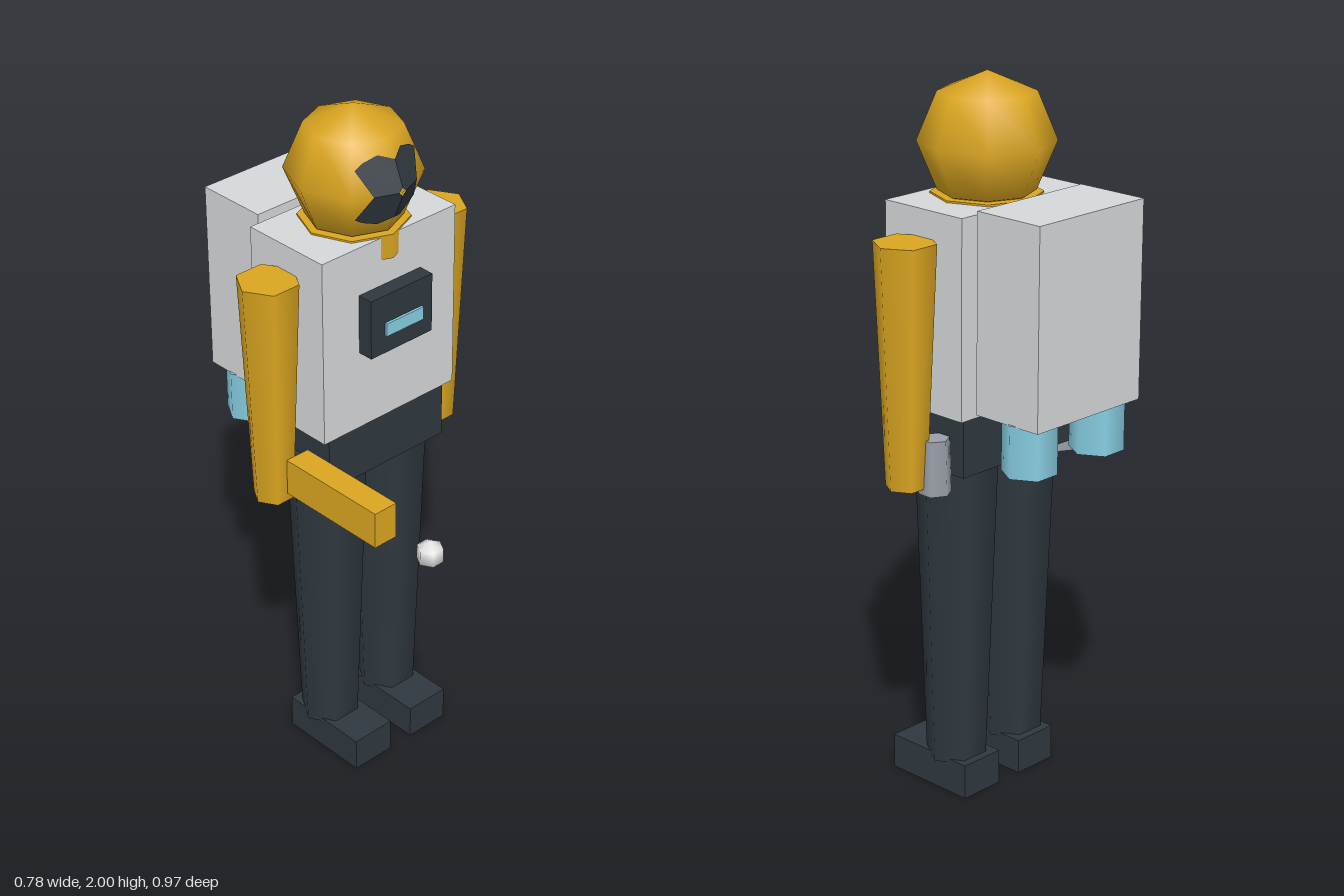
import * as THREE from 'three';

const mat = (name, color, side = THREE.FrontSide) => {
  const m = new THREE.MeshStandardMaterial({ color, side });
  m.name = name;
  return m;
};

export function createModel() {
  const gold = mat('gold', 0xdaa520);
  const shell = mat('lightGrey', 0xd5d8da);
  const dark = mat('charcoal', 0x2f383f, THREE.DoubleSide);
  const cyan = mat('paleCyan', 0x87cee2);
  const steel = mat('steelGrey', 0x9a9fa8);
  const white = mat('offWhite', 0xe6e6e6);

  const model = new THREE.Group();
  model.name = 'spacesuitFigure';

  const add = (name, geometry, material, x, y, z) => {
    const mesh = new THREE.Mesh(geometry, material);
    mesh.name = name;
    mesh.position.set(x, y, z);
    model.add(mesh);
    return mesh;
  };
  // box given by its ranges along x, y and z
  const box = (name, material, x0, x1, y0, y1, z0, z1) =>
    add(name, new THREE.BoxGeometry(x1 - x0, y1 - y0, z1 - z0), material,
      (x0 + x1) / 2, (y0 + y1) / 2, (z0 + z1) / 2);
  // upright six-sided tube with two corners pointing sideways
  const hex = (name, material, rTop, rBottom, x, y0, y1, z, turn = Math.PI / 6) => {
    const g = new THREE.CylinderGeometry(rTop, rBottom, y1 - y0, 6);
    g.rotateY(turn);
    return add(name, g, material, x, (y0 + y1) / 2, z);
  };

  // body
  box('torso', shell, -0.237, 0.237, 1.13, 1.675, -0.255, 0.022);
  box('hips', dark, -0.21, 0.21, 0.963, 1.132, -0.235, 0.01);
  box('backpack', shell, -0.197, 0.197, 1.145, 1.69, -0.485, -0.27);
  box('chestPanel', dark, -0.11, 0.11, 1.362, 1.535, 0.015, 0.068);
  box('panelLight', cyan, -0.066, 0.066, 1.42, 1.458, 0.074, 0.082);

  // head and collar
  const R = 0.185, headY = 1.815, headZ = -0.115;
  add('head', new THREE.SphereGeometry(R, 8, 4), gold, 0, headY, headZ);
  add('collar', new THREE.CylinderGeometry(0.15, 0.15, 0.07, 8), gold, 0, 1.645, headZ);

  // visor: one flat plate on each of the four front facets, open in the middle
  const quarter = [[0.012, 0], [0.075, 0], [0.104, 0.07], [0.08, 0.085],
    [0.04, 0.098], [0, 0.082], [0, 0.012]];
  const visor = new THREE.Group();
  visor.name = 'visor';
  for (const sx of [1, -1]) for (const sy of [1, -1]) {
    const g = new THREE.ShapeGeometry(
      new THREE.Shape(quarter.map(([x, y]) => new THREE.Vector2(x * sx, y * sy))));
    const p = g.attributes.position;
    const slope = Math.tan(Math.PI / 8);
    for (let i = 0; i < p.count; i++) {
      const ring = R - slope * Math.abs(p.getY(i));
      p.setZ(i, ring - slope * Math.abs(p.getX(i)) + 0.004);
    }
    g.computeVertexNormals();
    const plate = new THREE.Mesh(g, dark);
    plate.name = 'visorPlate';
    // keep the plate facing outwards
    if (g.attributes.normal.getZ(0) < 0) {
      g.index.array.reverse();
      g.computeVertexNormals();
    }
    visor.add(plate);
  }
  visor.position.set(0, headY, headZ);
  model.add(visor);

  // paired parts
  for (const [side, s] of [['left', 1], ['right', -1]]) {
    hex(side + 'Arm', gold, 0.086, 0.057, s * 0.302, 0.935, 1.6, -0.115);
    hex(side + 'Leg', dark, 0.118, 0.085, s * 0.112, 0.09, 1.03, -0.113);
    box(side + 'Boot', dark, s * 0.108 - 0.068, s * 0.108 + 0.068, 0, 0.1, -0.21, 0.07);
    hex(side + 'Thruster', cyan, 0.075, 0.075, s * 0.131, 1.003, 1.148, -0.397);
    hex(side + 'HipCanister', steel, 0.04, 0.045, s * 0.248, 0.918, 1.07, -0.168, 0);
  }

  // outstretched forearm and the small ball in front of it
  box('rightForearm', gold, -0.3, -0.225, 0.963, 1.07, -0.06, 0.285);
  add('ball', new THREE.SphereGeometry(0.041, 6, 3), white, -0.262, 1.015, 0.45);

  return model;
}
